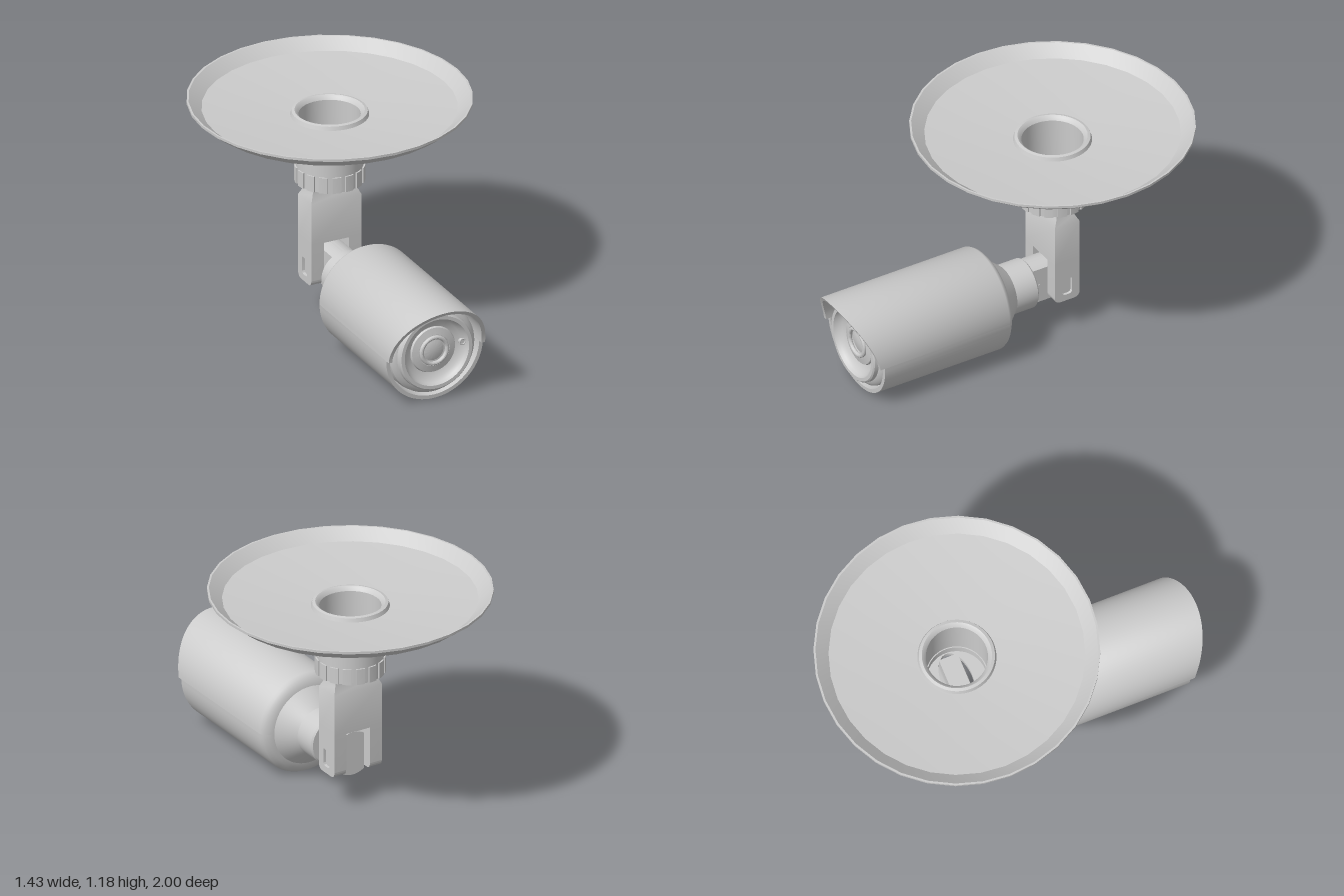
import * as THREE from 'three';
import { toCreasedNormals } from 'three/addons/utils/BufferGeometryUtils.js';

const AXIS_Y = 0.27;   // height of the camera axis
const POST_Z = -0.285; // vertical axis of the mount
const material = new THREE.MeshStandardMaterial({ color: 0xcccccc, side: THREE.DoubleSide });

function add(group, name, geometry, x = 0, y = 0, z = 0) {
  const mesh = new THREE.Mesh(toCreasedNormals(geometry, 0.5), material);
  mesh.name = name;
  mesh.position.set(x, y, z);
  group.add(mesh);
  return mesh;
}

const lathe = (points, segments = 64, start = 0, length = Math.PI * 2) =>
  new THREE.LatheGeometry(points.map(([r, h]) => new THREE.Vector2(r, h)), segments, start, length);

const extrude = (shape, depth) =>
  new THREE.ExtrudeGeometry(shape, { depth, bevelEnabled: false, curveSegments: 24 });

// Rectangle with rounded lower corners
function roundedBottom(Type, half, bottom, top, r) {
  const s = new Type();
  s.moveTo(-half, top);
  s.lineTo(-half, bottom + r);
  s.quadraticCurveTo(-half, bottom, -half + r, bottom);
  s.lineTo(half - r, bottom);
  s.quadraticCurveTo(half, bottom, half, bottom + r);
  s.lineTo(half, top);
  s.closePath();
  return s;
}

// Half of the sunshield, its front edge shaped by height
function shieldHalf(upper) {
  const geometry = lathe(
    [[0.21, 0.09], [0.235, 0.095], [0.262, 0.115], [0.27, 0.13], [0.27, 1], [0.25, 1], [0.25, 0.2]],
    40, upper ? Math.PI / 2 : -Math.PI / 2, Math.PI);
  geometry.rotateX(Math.PI / 2);
  const p = geometry.attributes.position;
  for (let i = 0; i < p.count; i++) {
    if (p.getZ(i) < 0.9) continue;
    const t = Math.min(1, Math.abs(p.getY(i)) / 0.27);
    p.setZ(i, upper ? 0.885 + 0.115 * t ** 1.4 : 0.86 - 0.018 * t);
  }
  return geometry;
}

function buildMount(group) {
  // Shallow ceiling dish
  add(group, 'ceilingDish', lathe([
    [0.19, 1.07], [0.64, 1.11], [0.715, 1.167], [0.715, 1.18], [0.705, 1.18],
    [0.64, 1.127], [0.205, 1.088], [0.19, 1.088], [0.19, 1.07],
  ], 32), 0, 0, POST_Z);

  // Hollow post with a raised rim
  add(group, 'post', lathe([
    [0.155, 0.74], [0.17, 0.74], [0.17, 1.075], [0.2, 1.08], [0.19, 1.108],
    [0.175, 1.112], [0.165, 1.105], [0.155, 1.09], [0.155, 0.74],
  ]), 0, 0, POST_Z);

  // Ribbed collar
  const collar = new THREE.Shape();
  const teeth = 16;
  for (let i = 0; i < teeth; i++) {
    for (const [f, r] of [[0, 0.178], [0.3, 0.178], [0.65, 0.178], [0.66, 0.17], [0.98, 0.17]]) {
      const a = (i + f) / teeth * Math.PI * 2;
      collar[i + f ? 'lineTo' : 'moveTo'](r * Math.cos(a), r * Math.sin(a));
    }
  }
  collar.closePath();
  collar.holes.push(new THREE.Path().absarc(0, 0, 0.15, 0, Math.PI * 2, true));
  add(group, 'collar', extrude(collar, 0.085).rotateX(-Math.PI / 2), 0, 0.73, POST_Z);

  // Floor of the post with an oval opening for the arm
  const floor = new THREE.Shape().absarc(0, 0, 0.158, 0, Math.PI * 2);
  floor.holes.push(new THREE.Path().absellipse(0, 0, 0.145, 0.08, 0, Math.PI * 2, true));
  add(group, 'postFloor', extrude(floor, 0.03).rotateX(-Math.PI / 2), 0, 0.73, POST_Z);
}

function buildArm(group) {
  // Upper arm, narrowing into the post: [height, half width, half depth]
  const levels = [[0.42, 0.14, 0.0725], [0.645, 0.14, 0.0725], [0.685, 0.122, 0.052],
    [0.73, 0.117, 0.05], [0.79, 0.117, 0.05]];
  const arm = new THREE.BoxGeometry(2, 1, 2, 1, levels.length - 1, 1);
  const p = arm.attributes.position;
  for (let i = 0; i < p.count; i++) {
    const [y, w, d] = levels[Math.round((p.getY(i) + 0.5) * (levels.length - 1))];
    p.setXYZ(i, p.getX(i) * w, y, p.getZ(i) * d);
  }
  add(group, 'arm', arm, 0, 0, POST_Z);

  // Fork prongs, each with a nut recess in its outer side
  for (const side of [1, -1]) {
    const inner = roundedBottom(THREE.Shape, 0.0725, 0.19, 0.42, 0.035);
    const outer = roundedBottom(THREE.Shape, 0.0725, 0.19, 0.42, 0.035);
    outer.holes.push(roundedBottom(THREE.Path, 0.028, 0.225, 0.318, 0.02));
    const name = side > 0 ? 'left' : 'right';
    add(group, name + 'Prong', extrude(inner, 0.055).rotateY(Math.PI / 2),
      side > 0 ? 0.07 : -0.125, 0, POST_Z);
    add(group, name + 'ProngRecess', extrude(outer, 0.015).rotateY(Math.PI / 2),
      side > 0 ? 0.125 : -0.14, 0, POST_Z);
  }

  // Pivot tongue: a round bar with flattened sides
  const half = 0.064, r = 0.117;
  const a = Math.acos(half / r);
  const tongue = new THREE.Shape();
  tongue.absarc(0, 0, r, a, Math.PI - a);
  tongue.absarc(0, 0, r, Math.PI + a, Math.PI * 2 - a);
  tongue.closePath();
  add(group, 'pivotTongue', extrude(tongue, 0.2), 0, 0.275, -0.31);

  // Set screw through the tongue
  add(group, 'setScrew', new THREE.CylinderGeometry(0.014, 0.014, 0.134, 16).rotateZ(Math.PI / 2),
    0, AXIS_Y, -0.17);
}

function buildCamera(group) {
  // Rear stub, tapered back and inner barrel with a dished front face
  add(group, 'barrel', lathe([
    [0, -0.13], [0.122, -0.13], [0.13, -0.122], [0.13, 0], [0.21, 0.09], [0.24, 0.12],
    [0.24, 0.81], [0.235, 0.835], [0.222, 0.85], [0.207, 0.856], [0.205, 0.878], [0.198, 0.885],
    [0.18, 0.885], [0.172, 0.866], [0.155, 0.848], [0.125, 0.838], [0.12, 0.848], [0.085, 0.856],
    [0.085, 0.83], [0, 0.83],
  ]).rotateX(Math.PI / 2), 0, AXIS_Y, 0);

  add(group, 'shieldTop', shieldHalf(true), 0, AXIS_Y, 0);
  add(group, 'shieldBottom', shieldHalf(false), 0, AXIS_Y, 0);

  // Lens
  add(group, 'lensRing', new THREE.TorusGeometry(0.071, 0.011, 12, 48), 0, AXIS_Y, 0.857);
  add(group, 'lens', lathe([[0.06, 0], [0.058, 0.014], [0.04, 0.02], [0, 0.023]], 48)
    .rotateX(Math.PI / 2), 0, AXIS_Y, 0.83);

  // Light sensor
  add(group, 'sensorRing', new THREE.TorusGeometry(0.015, 0.004, 8, 24), 0.155, AXIS_Y + 0.017, 0.862);
  add(group, 'sensor', new THREE.CylinderGeometry(0.015, 0.015, 0.03, 24).rotateX(Math.PI / 2),
    0.155, AXIS_Y + 0.017, 0.845);
}

export function createModel() {
  const model = new THREE.Group();
  model.name = 'ceilingCamera';
  const parts = { mount: buildMount, arm: buildArm, camera: buildCamera };
  for (const [name, build] of Object.entries(parts)) {
    const group = new THREE.Group();
    group.name = name;
    build(group);
    model.add(group);
  }
  return model;
}
